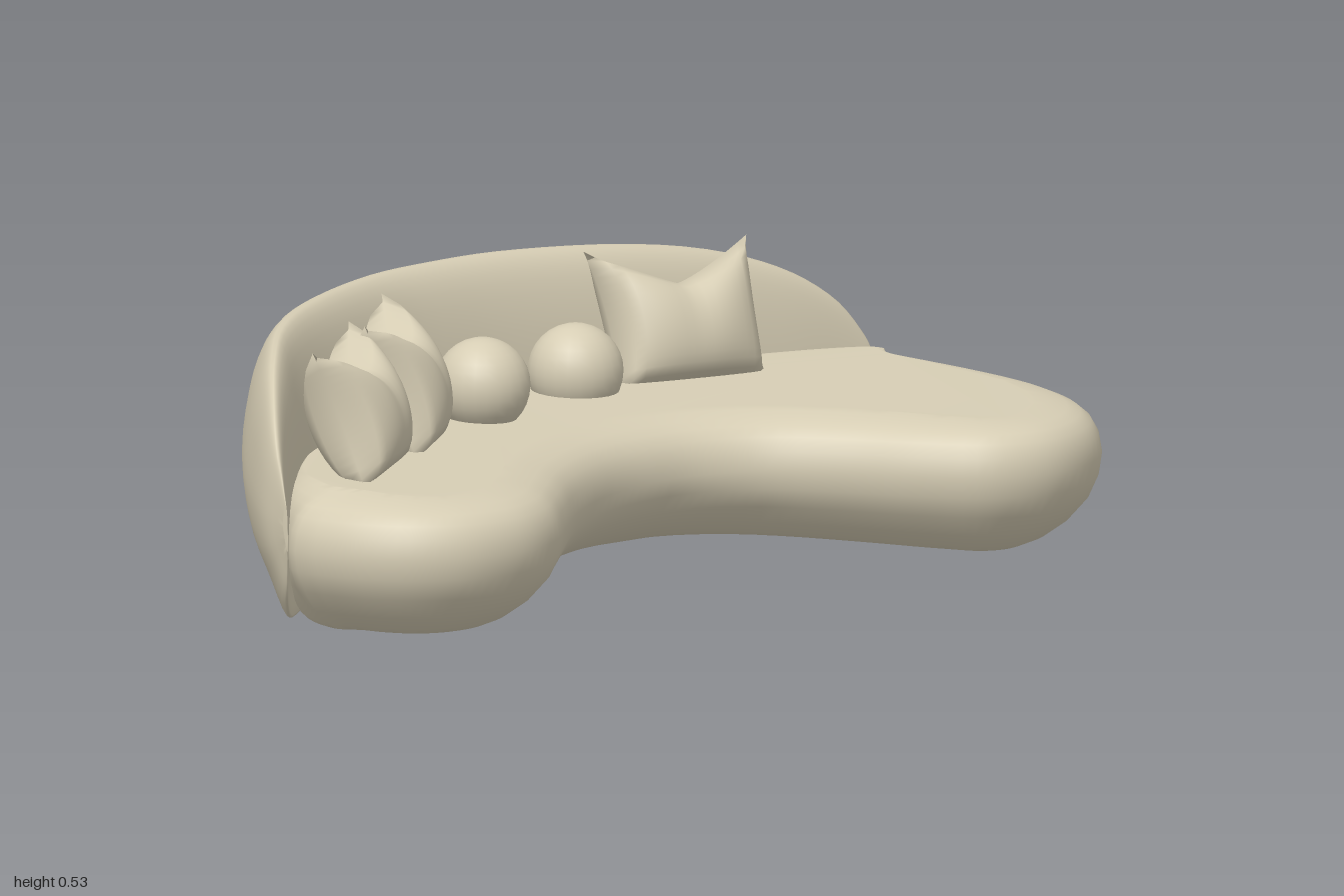
import * as THREE from 'three';
import { mergeGeometries, mergeVertices } from 'three/addons/utils/BufferGeometryUtils.js';

const fabric = new THREE.MeshStandardMaterial({ color: 0xd6cdb4 });
fabric.name = 'beige fabric';

const V = (a) => new THREE.Vector3(a[0], a[1], a[2]);

// Skin closed rings into a solid; project flattens the end rings for capping
function loft(rings, project) {
  const n = rings[0].length;
  const index = [];
  for (let r = 0; r < rings.length - 1; r++) {
    for (let i = 0; i < n; i++) {
      const j = (i + 1) % n;
      const a = r * n + i, b = r * n + j;
      index.push(a, b, b + n, a, b + n, a + n);
    }
  }
  const last = (rings.length - 1) * n;
  for (const [a, b, c] of THREE.ShapeUtils.triangulateShape(rings[0].map(project), [])) {
    index.push(c, b, a);
  }
  for (const [a, b, c] of THREE.ShapeUtils.triangulateShape(rings[rings.length - 1].map(project), [])) {
    index.push(last + a, last + b, last + c);
  }
  const g = new THREE.BufferGeometry().setFromPoints(rings.flat());
  g.setIndex(index);
  g.computeVertexNormals();
  return g;
}

// Curved seat: plan outline (x, edge rounding, z) inset at each height
function seatGeometry() {
  const outline = new THREE.CatmullRomCurve3([
    [-0.98, 1, 0.04], [-0.968, 1, 0.15], [-0.92, 1, 0.25], [-0.83, 1, 0.32], [-0.7, 1, 0.345],
    [-0.58, 1, 0.315], [-0.45, 1, 0.235], [-0.3, 1, 0.145], [-0.13, 1, 0.08], [0, 1, 0.062],
    [0.13, 1, 0.078], [0.24, 1, 0.145], [0.32, 1, 0.27], [0.38, 1, 0.41], [0.45, 1, 0.52],
    [0.57, 1, 0.573], [0.72, 1, 0.545], [0.85, 1, 0.45], [0.94, 1, 0.31], [0.985, 1, 0.15],
    [0.998, 1, 0], [0.99, 0.9, -0.11], [0.96, 0.65, -0.18], [0.86, 0.35, -0.225], [0.6, 0.3, -0.32],
    [0.3, 0.3, -0.4], [0, 0.3, -0.43], [-0.3, 0.3, -0.405], [-0.6, 0.3, -0.29],
    [-0.8, 0.35, -0.17], [-0.93, 0.65, -0.05],
  ].map(V), true);
  const profile = [[0.01, 0.13], [0.022, 0.1], [0.05, 0.06], [0.09, 0.024], [0.13, 0.006], [0.17, 0],
    [0.205, 0.006], [0.23, 0.02], [0.247, 0.04], [0.257, 0.065], [0.265, 0.1], [0.268, 0.125]];
  const n = 144;
  const rings = profile.map(([y, inset]) => Array.from({ length: n }, (_, i) => {
    const p = outline.getPoint(i / n);
    // direction averaged over a stretch of outline, so tight corners do not fold
    const t = outline.getPoint((i / n + 0.035) % 1).sub(outline.getPoint((i / n + 0.965) % 1));
    const k = inset * p.y / Math.hypot(t.x, t.z);
    // crowned top, slightly arched underside in the middle
    const lift = y > 0.17
      ? inset * (0.08 - 0.24 * p.z)
      : 0.03 * Math.exp(-Math.pow((p.x + 0.06) / 0.36, 4)) * (1 - y / 0.17);
    return new THREE.Vector3(p.x + t.z * k, y + lift, p.z - t.x * k);
  }));
  return loft(rings, (p) => new THREE.Vector2(p.x, -p.z));
}

// Backrest: one rounded section swept along x, thinning to the ends
function backrestGeometry() {
  // x, front z, back z, bottom y, top y
  const stations = [
    [-0.998, 0.012, 0.0, 0.17, 0.26], [-0.968, -0.012, -0.075, 0.085, 0.35],
    [-0.9, -0.06, -0.16, 0.028, 0.43], [-0.8, -0.125, -0.26, 0.01, 0.49],
    [-0.65, -0.215, -0.375, 0.003, 0.52], [-0.45, -0.295, -0.478, 0, 0.53],
    [-0.2, -0.36, -0.555, 0, 0.532], [0, -0.37, -0.575, 0, 0.53], [0.2, -0.355, -0.56, 0, 0.526],
    [0.45, -0.31, -0.505, 0, 0.51], [0.65, -0.265, -0.438, 0.003, 0.481],
    [0.8, -0.225, -0.355, 0.01, 0.432], [0.9, -0.2, -0.28, 0.02, 0.367],
    [0.95, -0.187, -0.22, 0.05, 0.295], [0.966, -0.185, -0.195, 0.11, 0.25],
  ];
  const depth = new THREE.CatmullRomCurve3(stations.map((s) => V([s[0], s[1], s[2]])), false, 'catmullrom');
  const height = new THREE.CatmullRomCurve3(stations.map((s) => V([s[0], s[3], s[4]])), false, 'catmullrom');
  // share of depth from the front, share of height
  const section = new THREE.CatmullRomCurve3([
    [0.12, 0.005, 0], [0.5, 0.17, 0], [0.88, 0.37, 0], [1, 0.57, 0], [0.87, 0.81, 0], [0.64, 0.96, 0],
    [0.42, 1, 0], [0.24, 0.93, 0], [0.1, 0.76, 0], [0.01, 0.5, 0], [0, 0.28, 0], [0, 0.02, 0],
  ].map(V), true).getPoints(40).slice(0, 40);
  const rings = Array.from({ length: 61 }, (_, i) => {
    const d = depth.getPoint(i / 60), h = height.getPoint(i / 60);
    return section.map((s) => new THREE.Vector3(
      d.x, Math.max(0, THREE.MathUtils.lerp(h.y, h.z, s.y)), THREE.MathUtils.lerp(d.y, d.z, s.x)));
  });
  return loft(rings, (p) => new THREE.Vector2(-p.z, p.y));
}

// Plump square cushion with pointed corners and a dented top edge
function cushionGeometry() {
  const sides = [1, -1].map((side) => {
    const g = new THREE.PlaneGeometry(2, 2, 16, 16);
    const p = g.attributes.position;
    for (let i = 0; i < p.count; i++) {
      const u = p.getX(i), v = p.getY(i);
      const puff = Math.pow(Math.max(0, (1 - u * u) * (1 - v * v)), 0.38);
      const up = (v + 1) / 2;
      const dent = (1 - Math.pow(Math.abs(u), 1.3)) * up * up;
      const x = u * (0.178 - 0.018 * (1 - v * v) - 0.014 * (1 - up));
      const y = 0.272 * up - 0.08 * dent;
      const fold = 1 - 0.2 * up * Math.exp(-u * u * 12);
      p.setXYZ(i, x * side, y, side * 0.09 * puff * fold);
    }
    g.deleteAttribute('uv');
    g.deleteAttribute('normal');
    return g;
  });
  const g = mergeVertices(mergeGeometries(sides), 1e-5);
  g.computeVertexNormals();
  return g;
}

export function createModel() {
  const sofa = new THREE.Group();
  sofa.name = 'curvedSofa';
  const add = (name, geometry) => {
    const mesh = new THREE.Mesh(geometry, fabric);
    mesh.name = name;
    sofa.add(mesh);
    return mesh;
  };

  add('seat', seatGeometry());
  add('backrest', backrestGeometry());

  // Square cushions: x, z, turn
  const cushion = cushionGeometry();
  [['outerRightCushion', -0.655, -0.045, 0.5], ['innerRightCushion', -0.37, -0.175, 0.6],
    ['leftCushion', 0.445, -0.2, -0.33]].forEach(([name, x, z, turn]) => {
    const m = add(name, cushion);
    m.position.set(x, 0.266, z);
    m.rotation.set(-0.36, turn, 0, 'YXZ');
  });

  // Ball cushions
  const ball = new THREE.SphereGeometry(0.09, 24, 16);
  add('rightBallCushion', ball).position.set(-0.145, 0.345, -0.22);
  add('leftBallCushion', ball).position.set(0.185, 0.322, -0.267);

  return sofa;
}
